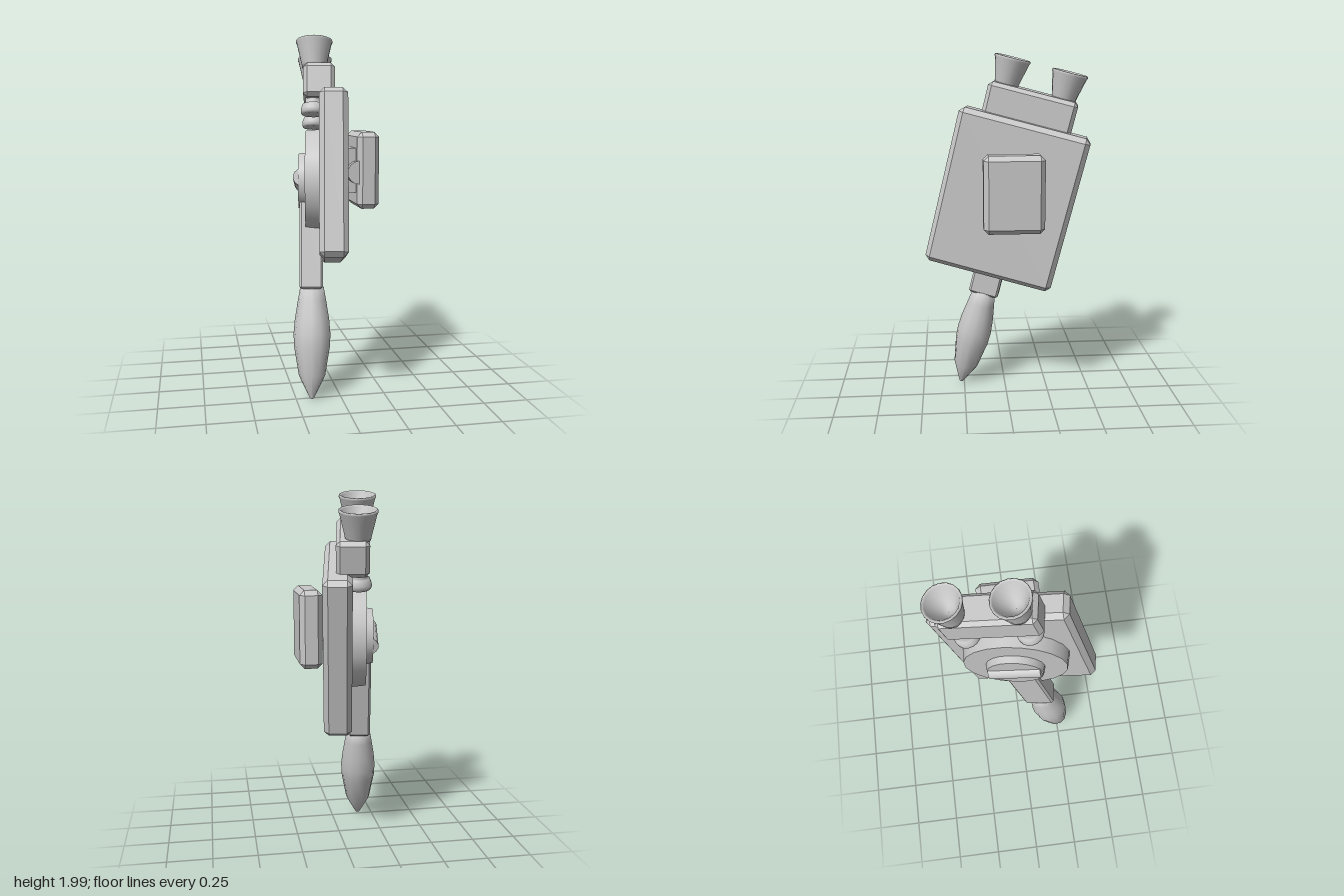
import * as THREE from 'three';
import { ConvexGeometry } from 'three/addons/geometries/ConvexGeometry.js';

const V2 = (p) => new THREE.Vector2(p[0], p[1]);

// Box with every edge chamfered by c
function chamferBox(w, h, d, c) {
  const pts = [];
  const [x, y, z] = [w / 2, h / 2, d / 2];
  for (const i of [-1, 1]) for (const j of [-1, 1]) for (const k of [-1, 1]) {
    pts.push(
      new THREE.Vector3(i * x, j * (y - c), k * (z - c)),
      new THREE.Vector3(i * (x - c), j * y, k * (z - c)),
      new THREE.Vector3(i * (x - c), j * (y - c), k * z)
    );
  }
  return new ConvexGeometry(pts);
}

export function createModel() {
  const grey = new THREE.MeshStandardMaterial({ color: 0xc8c8c8 });
  grey.name = 'light grey';
  const model = new THREE.Group();
  model.name = 'deviceWithMount';

  const add = (parent, name, geometry, x, y, z) => {
    const mesh = new THREE.Mesh(geometry, grey);
    mesh.name = name;
    mesh.position.set(x, y, z);
    parent.add(mesh);
    return mesh;
  };

  // Upright mounting block and its pivot
  add(model, 'mountBlock', chamferBox(0.125, 0.43, 0.335, 0.027), 0.1825, 1.255, -0.0275);
  add(model, 'mountBracket', new THREE.BoxGeometry(0.09, 0.25, 0.17), 0.09, 1.255, 0);
  const pivot = add(model, 'mountPivot', new THREE.CylinderGeometry(0.065, 0.065, 0.25, 16), 0.13, 1.245, 0);
  pivot.rotation.x = Math.PI / 2;

  // Everything else hangs on the pivot, pitched and turned
  const body = new THREE.Group();
  body.name = 'tiltedBody';
  body.position.set(0.005, 1.19, 0);
  body.rotation.set(-14 * Math.PI / 180, -10 * Math.PI / 180, 0, 'YXZ');
  model.add(body);

  add(body, 'mainCase', chamferBox(0.155, 0.905, 0.745, 0.028), 0, 0, 0);
  add(body, 'topBlock', chamferBox(0.175, 0.19, 0.51, 0.022), -0.078, 0.525, 0);

  // Flared cups above the top block, with matching sockets below
  const cup = [[0, 0], [0.066, 0], [0.07, 0.02], [0.098, 0.14], [0.103, 0.148], [0.102, 0.157],
    [0.096, 0.16], [0.088, 0.152], [0.035, 0.045], [0, 0.045]].map(V2);
  const socket = [[0, 0], [0.062, 0], [0.07, 0.012], [0.07, 0.03], [0.058, 0.06], [0.045, 0.064], [0.045, 0.12]].map(V2);
  for (const side of [1, -1]) {
    add(body, 'cup', new THREE.LatheGeometry(cup, 18), -0.105, 0.608, side * 0.165);
    add(body, 'socket', new THREE.LatheGeometry(socket, 18), -0.11, 0.345, side * 0.165);
  }

  // Dial on the outer face: wide plate, raised hub, grip bar
  const disc = (name, r0, r1, thick, x) => {
    const mesh = add(body, name, new THREE.CylinderGeometry(r1, r0, thick, 20), x, 0, 0);
    mesh.rotation.z = Math.PI / 2; // top cap points to -x
  };
  disc('dialPlate', 0.295, 0.285, 0.095, -0.1075);
  disc('dialHub', 0.165, 0.155, 0.06, -0.165);
  const bar = add(body, 'dialBar', new THREE.CylinderGeometry(0.047, 0.047, 0.29, 14), -0.177, 0, 0);
  bar.rotation.x = Math.PI / 2;

  // Arm running down from the dial, ending in a pointed grip
  add(body, 'arm', chamferBox(0.13, 0.6, 0.175, 0.012), -0.123, -0.315, 0);
  const grip = [[0, 0], [0.012, 0.008], [0.073, 0.13], [0.1, 0.29], [0.103, 0.36], [0.096, 0.44],
    [0.08, 0.54], [0.066, 0.62], [0, 0.63]].map(V2);
  add(body, 'grip', new THREE.LatheGeometry(grip, 12), -0.12, -1.222, 0);

  return model;
}
